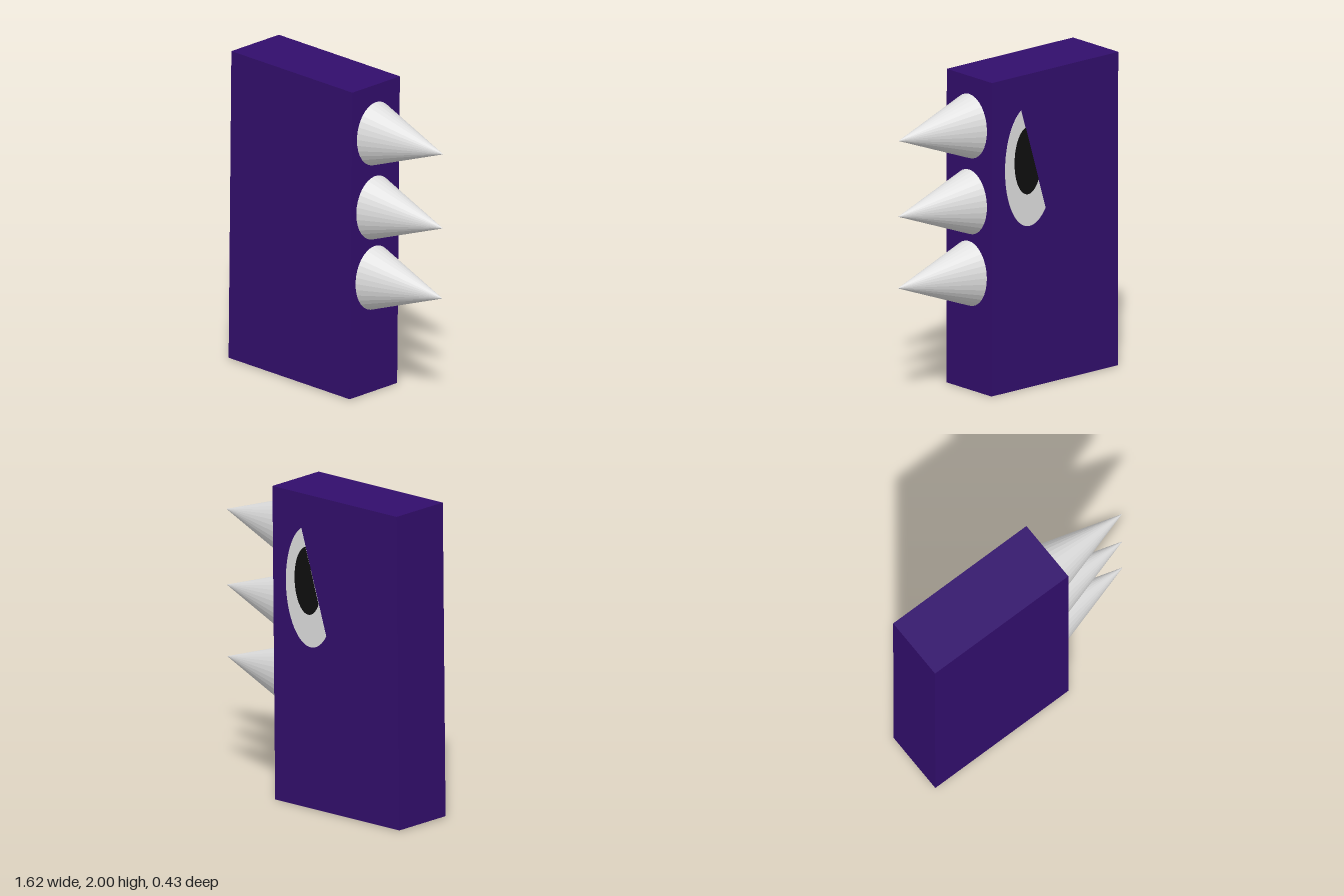
import * as THREE from 'three';

const material = (name, color) => {
  const m = new THREE.MeshStandardMaterial({ color });
  m.name = name;
  return m;
};

// Ellipse cut off by a slanted lid line: x = -0.01 - slope * (1.79 - y)
function lidCutEllipse(cx, cy, a, b) {
  const slope = 0.306;
  const offset = cx + 0.01 + slope * (1.79 - cy);
  const phi = Math.atan2(slope * b, a);
  const half = Math.acos(-offset / Math.hypot(a, slope * b));
  const shape = new THREE.Shape();
  shape.absellipse(cx, cy, a, b, -phi - half, -phi + half, false);
  shape.closePath();
  return shape;
}

export function createModel() {
  const purple = material('deep purple', 0x320e6c);
  const white = material('off white', 0xdedede);
  white.flatShading = true;
  const black = material('black', 0x0e0e0e);

  const model = new THREE.Group();
  model.name = 'spikedSlab';

  const add = (parent, name, geometry, mat) => {
    const mesh = new THREE.Mesh(geometry, mat);
    mesh.name = name;
    parent.add(mesh);
    return mesh;
  };

  // Slab body, leaning very slightly
  const center = new THREE.Vector3(-0.293, 1, 0);
  const head = new THREE.Group();
  head.name = 'head';
  head.position.copy(center);
  head.rotation.set(-0.0075, 0, -0.0045);
  model.add(head);
  add(head, 'body', new THREE.BoxGeometry(1.031, 1.992, 0.415), purple);

  // Half-lidded eye on the back face, as thin plates
  const plate = (name, shape, depth, mat) => {
    const geometry = new THREE.ExtrudeGeometry(shape, { depth, bevelEnabled: false, curveSegments: 40 });
    geometry.translate(-center.x, -center.y, -0.2075 - depth);
    add(head, name, geometry, mat);
  };
  plate('eyeWhite', lidCutEllipse(-0.085, 1.415, 0.2, 0.385), 0.003, white);
  plate('pupil', lidCutEllipse(-0.07, 1.45, 0.11, 0.215), 0.006, black);

  // Three spikes along the left edge, their bases sunk into the slab
  const length = 0.6;
  [[1.683, -0.004], [1.202, -0.001], [0.747, 0.003]].forEach(([y, z], i) => {
    const geometry = new THREE.ConeGeometry(0.212, length, 32);
    geometry.rotateZ(-Math.PI / 2);
    geometry.scale(1, 1, 0.8);
    const spike = add(model, `spike${i + 1}`, geometry, white);
    spike.position.set(0.2 + length / 2 + 0.003, y, z);
    spike.rotation.z = 0.02;
  });

  return model;
}
